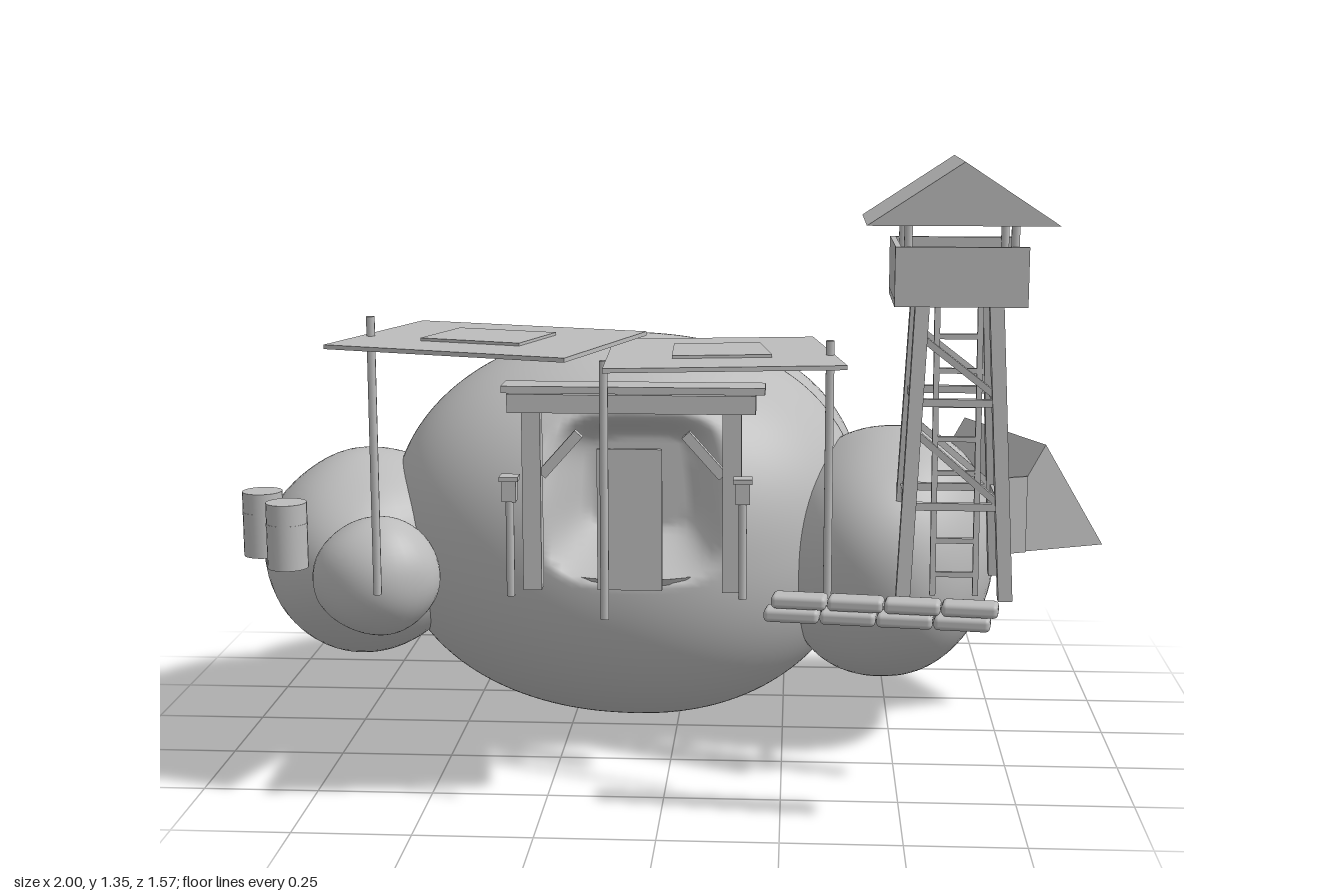
import * as THREE from 'three';
import { RoundedBoxGeometry } from 'three/addons/geometries/RoundedBoxGeometry.js';
import { mergeVertices } from 'three/addons/utils/BufferGeometryUtils.js';

const V = (x, y, z) => new THREE.Vector3(x, y, z);
const GROUND = 0.43;

export function createModel() {
  const root = new THREE.Group();
  const grey = new THREE.MeshStandardMaterial({ color: 0xbcbcbc });
  grey.name = 'plain grey';

  const group = (name, parent = root) => {
    const g = new THREE.Group();
    g.name = name;
    parent.add(g);
    return g;
  };
  const add = (name, geo, x, y, z, parent = root) => {
    const m = new THREE.Mesh(geo, grey);
    m.name = name;
    m.position.set(x, y, z);
    parent.add(m);
    return m;
  };
  const box = (name, w, h, d, x, y, z, parent) =>
    add(name, new THREE.BoxGeometry(w, h, d), x, y, z, parent);
  // Square beam between two points
  const beam = (name, a, b, t, parent) => {
    const m = box(name, t, a.distanceTo(b), t, 0, 0, 0, parent);
    m.position.copy(a).add(b).multiplyScalar(0.5);
    m.quaternion.setFromUnitVectors(V(0, 1, 0), b.clone().sub(a).normalize());
    return m;
  };
  const pole = (name, r, x, y0, y1, z, parent) =>
    add(name, new THREE.CylinderGeometry(r, r, y1 - y0, 10), x, (y0 + y1) / 2, z, parent);
  // Triangular prism with its ridge along z, base at y = 0
  const prism = (w, h, d) => {
    const s = new THREE.Shape([new THREE.Vector2(-w / 2, 0), new THREE.Vector2(w / 2, 0), new THREE.Vector2(0, h)]);
    return new THREE.ExtrudeGeometry(s, { depth: d, bevelEnabled: false }).translate(0, 0, -d / 2);
  };

  // Boulders: lumpy superellipsoids (power above 2 is boxier), optionally reshaped by a rule
  const rocks = group('rocks');
  const rock = (name, c, r, power, seed, lump, seg, rule) => {
    let geo = new THREE.SphereGeometry(1, seg, Math.round(seg * 0.7));
    geo.deleteAttribute('uv');
    geo.deleteAttribute('normal');
    geo = mergeVertices(geo);
    const p = geo.attributes.position, v = V(0, 0, 0);
    for (let i = 0; i < p.count; i++) {
      v.fromBufferAttribute(p, i);
      const n = Math.sin(v.x * 3.1 + seed) * Math.sin(v.y * 2.7 + seed * 2) * Math.cos(v.z * 2.9 + seed * 3);
      const norm = (Math.abs(v.x) ** power + Math.abs(v.y) ** power + Math.abs(v.z) ** power) ** (1 / power);
      v.multiplyScalar((1 + lump * n) / norm).multiply(r).add(c);
      if (rule) rule(v);
      p.setXYZ(i, v.x, v.y, v.z);
    }
    geo.computeVertexNormals();
    return add(name, geo, 0, 0, 0, rocks);
  };
  // Cave mouth: push the front of the main rock inwards
  const carveCave = (v) => {
    if (v.z < 0) return;
    const dx = Math.abs(v.x + 0.08) / 0.2, dy = Math.abs(v.y - 0.6) / 0.18;
    const edge = Math.pow(dx ** 4 + dy ** 4, 0.25);
    const k = 1 - THREE.MathUtils.smoothstep(edge, 0.6, 1.05);
    v.z = THREE.MathUtils.lerp(v.z, Math.min(v.z, 0.05), k);
  };
  rock('mainRock', V(-0.13, 0.455, -0.205), V(0.57, 0.455, 0.49), 2.2, 0.4, 0.02, 160, carveCave);
  rock('backRock', V(0.03, 0.47, -0.53), V(0.41, 0.36, 0.255), 2.3, 1.3, 0.04, 56);
  rock('rightRock', V(-0.74, 0.4, -0.1), V(0.245, 0.235, 0.3), 2.15, 2.1, 0.06, 48);
  rock('smallRightRock', V(-0.66, 0.42, 0.25), V(0.138, 0.13, 0.12), 2.15, 0.9, 0.05, 36);
  rock('leftRock', V(0.49, 0.425, -0.05), V(0.25, 0.29, 0.325), 2.15, 3.0, 0.05, 56);
  rock('smallLeftRock', V(0.52, 0.4, -0.33), V(0.06, 0.065, 0.055), 2.2, 1.7, 0.05, 24);

  // Timber entrance in front of the cave
  const gate = group('caveEntrance');
  for (const x of [-0.29, 0.14]) {
    box('gatePost', 0.04, 0.39, 0.04, x, 0.625, 0.38, gate);
    const s = x < 0 ? 1 : -1;
    beam('gateBrace', V(x + s * 0.02, 0.68, 0.37), V(x + s * 0.1, 0.77, 0.37), 0.022, gate);
  }
  box('lintel', 0.53, 0.04, 0.06, -0.075, 0.84, 0.38, gate);
  box('lintelBoard', 0.56, 0.015, 0.08, -0.07, 0.872, 0.385, gate);
  box('door', 0.14, 0.31, 0.012, -0.08, 0.585, 0.385, gate);
  const floor = add('caveFloor', new THREE.CylinderGeometry(0.2, 0.19, 0.015, 28), -0.09, 0.42, 0.15, gate);
  floor.scale.z = 0.72;

  // Lanterns on short posts
  for (const x of [-0.33, 0.165]) {
    const lamp = group('lanternPost');
    pole('post', 0.009, x, GROUND, 0.64, 0.45, lamp);
    box('lantern', 0.03, 0.045, 0.03, x, 0.66, 0.45, lamp);
    box('lanternCap', 0.04, 0.01, 0.04, x, 0.687, 0.45, lamp);
  }

  // Two canopy sheets with a centre patch, on thin poles
  const canopies = group('canopies');
  const sheet = (corners, y) => {
    const shape = new THREE.Shape(corners.map(([x, z]) => new THREE.Vector2(x, -z)));
    const flat = (s) => new THREE.ExtrudeGeometry(s, { depth: 0.009, bevelEnabled: false }).rotateX(-Math.PI / 2);
    add('canopySheet', flat(shape), 0, y, 0, canopies);
    const cx = corners.reduce((a, c) => a + c[0], 0) / 4, cz = corners.reduce((a, c) => a + c[1], 0) / 4;
    const inner = corners.map(([x, z]) => new THREE.Vector2(cx + (x - cx) * 0.42, -cz - (z - cz) * 0.42));
    add('canopyPatch', flat(new THREE.Shape(inner)), 0, y + 0.006, 0, canopies);
  };
  sheet([[-0.555, 0.19], [-0.045, 0.35], [-0.175, 0.765], [-0.685, 0.6]], 0.98);
  sheet([[-0.115, 0.34], [0.31, 0.28], [0.375, 0.71], [-0.1, 0.78]], 0.962);
  for (const [x, z, top] of [[-0.617, 0.457, 1.03], [0.343, 0.56, 1.0], [-0.112, 0.628, 0.965]])
    pole('canopyPole', 0.009, x, GROUND, top, z, canopies);

  // Barrels with a raised hoop
  for (const [x, z] of [[-0.953, 0.105], [-0.868, 0.225]]) {
    const barrel = group('barrel');
    add('barrelBody', new THREE.CylinderGeometry(0.046, 0.046, 0.15, 24), x, 0.505, z, barrel);
    add('barrelHoop', new THREE.CylinderGeometry(0.047, 0.047, 0.006, 24), x, 0.53, z, barrel);
  }

  // Two layers of sandbags
  const bags = group('sandbags');
  bags.position.set(0.455, GROUND, 0.645);
  bags.rotation.y = -0.13;
  for (let layer = 0; layer < 2; layer++)
    for (let i = 0; i < 4; i++)
      add('sandbag', new RoundedBoxGeometry(0.113, 0.028, 0.054, 3, 0.01),
        -0.175 + i * 0.115 + (layer ? 0.005 : -0.01), 0.015 + layer * 0.029, 0, bags);

  // Watchtower, its cabin open on the left side
  const tower = group('watchtower');
  const tx = 0.613, tz = 0.313;
  const corner = (sx, sz, y) => {
    const t = (y - GROUND) / 0.63;
    return V(tx + sx * THREE.MathUtils.lerp(0.108, 0.077, t), y, tz + sz * THREE.MathUtils.lerp(0.118, 0.083, t));
  };
  const ring = [[-1, -1], [1, -1], [1, 1], [-1, 1]];
  ring.forEach(([sx, sz], i) => {
    const [nx, nz] = ring[(i + 1) % 4];
    beam('towerLeg', corner(sx, sz, GROUND), corner(sx, sz, 1.06), 0.03, tower);
    for (const y of [0.63, 0.85])
      beam('towerCrossbar', corner(sx, sz, y), corner(nx, nz, y), 0.016, tower);
    pole('roofPost', 0.009, tx + sx * 0.11, 1.06, 1.235, tz + sz * 0.11, tower);
  });
  for (const s of [-1, 1]) {
    beam('towerBrace', corner(-1, s, 0.79), corner(1, s, 0.63), 0.014, tower);
    beam('towerBrace', corner(-1, s, 0.99), corner(1, s, 0.86), 0.014, tower);
    box('cabinWall', 0.275, 0.12, 0.012, tx, 1.12, tz + s * 0.129, tower);
    beam('ladderRail', V(tx + s * 0.045, 0.44, 0.43), V(tx + s * 0.045, 1.13, 0.388), 0.012, tower);
  }
  box('cabinWall', 0.012, 0.12, 0.26, tx - 0.131, 1.12, tz, tower);
  for (let i = 0; i < 8; i++)
    box('ladderRung', 0.09, 0.011, 0.011, tx, 0.485 + i * 0.072, 0.427 - i * 0.0045, tower);
  box('cabinFloor', 0.275, 0.014, 0.27, tx, 1.063, tz, tower);
  add('cabinSandbag', new RoundedBoxGeometry(0.12, 0.055, 0.085, 3, 0.012), 0.65, 1.11, 0.283, tower);
  add('towerRoof', prism(0.395, 0.13, 0.315), tx, 1.225, tz, tower);

  // Ridge tent with a door flap at its front
  const tent = group('tent');
  tent.position.set(0.775, GROUND, -0.228);
  tent.rotation.y = 0.41;
  add('tentBody', prism(0.32, 0.25, 0.4), 0, 0, 0, tent);
  box('tentFlap', 0.11, 0.18, 0.008, -0.105, 0.09, 0.204, tent);

  return root;
}
